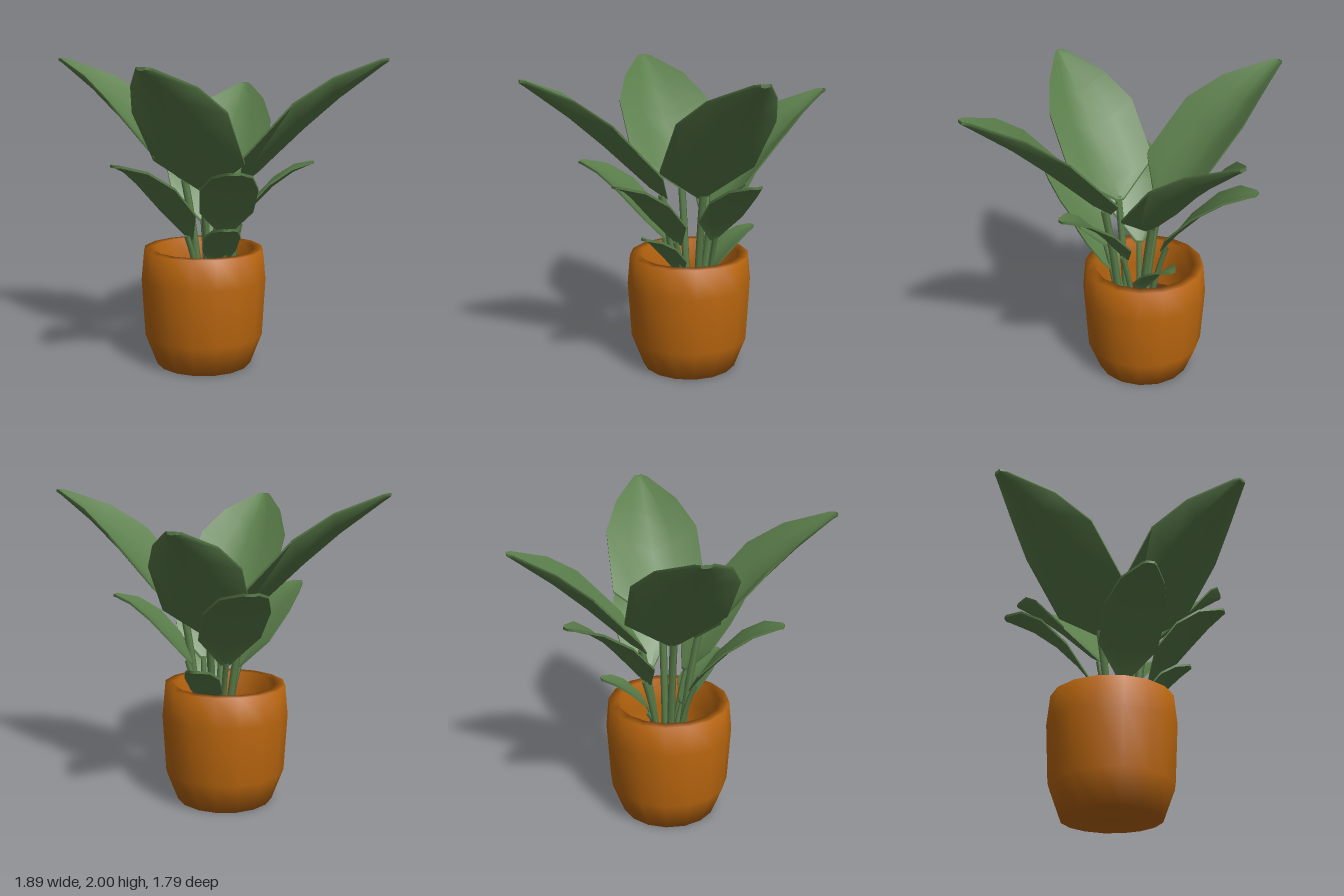
import * as THREE from 'three';
import { toCreasedNormals } from 'three/addons/utils/BufferGeometryUtils.js';

const green = new THREE.MeshStandardMaterial({ color: 0x5a7d4a, side: THREE.DoubleSide });
const clay = new THREE.MeshStandardMaterial({ color: 0xbb670f });
const earth = new THREE.MeshStandardMaterial({ color: 0x5a3316 });
const SOIL_Y = 0.42;

// Leaf stations: [distance from centre, half width, midrib rise above the leaf base, edge lift]
const LARGE = [[0.175, 0.025, 0, 0], [0.285, 0.31, 0.08, 0.12], [0.585, 0.31, 0.37, 0.155], [0.8, 0.21, 0.56, 0.115], [1.055, 0.05, 0.755, 0.025], [1.09, 0.025, 0.78, 0.005]];
const MEDIUM = [[0.17, 0.025, 0, 0], [0.27, 0.17, 0.13, 0.035], [0.42, 0.18, 0.29, 0.035], [0.56, 0.125, 0.395, 0.025], [0.68, 0.04, 0.45, 0.005], [0.7, 0.02, 0.455, 0]];
const SMALL = [[0.11, 0.02, 0, 0], [0.17, 0.105, 0.09, 0.025], [0.28, 0.115, 0.2, 0.025], [0.37, 0.08, 0.265, 0.015], [0.44, 0.03, 0.297, 0.003], [0.45, 0.02, 0.3, 0]];

// Thin cupped blade lofted along +x; every section is a closed loop, top then underside
function bladeGeometry(stations, scale, baseY) {
  const across = [-1, -0.5, 0, 0.5, 1], n = 10, thick = 0.016;
  const pos = [], index = [];
  for (const [r, half, rise, lift] of stations) {
    const put = (a, drop) => pos.push(r * scale, baseY + (rise + lift * Math.abs(a) ** 1.4) * scale - drop, a * half * scale);
    across.forEach(a => put(a, 0));
    [...across].reverse().forEach(a => put(a, thick));
  }
  const last = (stations.length - 1) * n;
  for (let o = 0; o < last; o += n) {
    for (let j = 0; j < n; j++) {
      const a = o + j, b = o + (j + 1) % n;
      index.push(a, b, a + n, b, b + n, a + n);
    }
  }
  for (let j = 1; j < n - 1; j++) index.push(0, j + 1, j, last, last + j, last + j + 1);
  const g = new THREE.BufferGeometry();
  g.setAttribute('position', new THREE.Float32BufferAttribute(pos, 3));
  g.setIndex(index);
  return toCreasedNormals(g, 0.9);
}

// A blade on its stem, rooted at (rootX, rootZ), its tip at (tipX, tipZ)
function makeLeaf(name, stations, tipX, tipZ, baseY, rootX = 0, rootZ = 0) {
  const leaf = new THREE.Group();
  leaf.name = name;
  const dx = tipX - rootX, dz = tipZ - rootZ;
  const scale = Math.hypot(dx, dz) / stations[stations.length - 1][0];
  const blade = new THREE.Mesh(bladeGeometry(stations, scale, baseY), green);
  blade.name = 'blade';
  const r = stations[0][0] * scale;
  const curve = new THREE.QuadraticBezierCurve3(
    new THREE.Vector3(r * 0.5, SOIL_Y - 0.03, 0),
    new THREE.Vector3(r * 0.75, (SOIL_Y + baseY) / 2 + 0.05, 0),
    new THREE.Vector3(r + 0.03, baseY + 0.01, 0));
  const stem = new THREE.Mesh(new THREE.TubeGeometry(curve, 6, stations === LARGE ? 0.025 : 0.018, 6), green);
  stem.name = 'stem';
  leaf.add(blade, stem);
  leaf.position.set(rootX, 0, rootZ);
  leaf.rotation.y = -Math.atan2(dz, dx);
  return leaf;
}

export function createModel() {
  const model = new THREE.Group();
  model.name = 'pottedPlant';

  // Pot with rounded belly and a thick, softly shaded open rim
  const pot = new THREE.Group();
  pot.name = 'pot';
  pot.position.set(-0.063, 0, -0.052);
  const profile = [[0, 0], [0.315, 0], [0.392, 0.205], [0.413, 0.58], [0.394, 0.775], [0.33, 0.775], [0.345, 0.58], [0.335, SOIL_Y - 0.04]]
    .map(p => new THREE.Vector2(...p));
  const shell = new THREE.Mesh(new THREE.LatheGeometry(profile, 16), clay);
  shell.name = 'potShell';
  const soil = new THREE.Mesh(new THREE.CircleGeometry(0.34, 16).rotateX(-Math.PI / 2), earth);
  soil.name = 'soil';
  soil.position.y = SOIL_Y;
  pot.add(shell, soil);

  // Leaves: name, stations, tip x, tip z, base height, root x, root z
  const leaves = [
    ['largeLeafLeft', LARGE, 0.93, 0.565, 1.22],
    ['largeLeafRight', LARGE, -0.93, -0.59, 1.21],
    ['largeLeafFront', LARGE, -0.59, 0.885, 1.19],
    ['largeLeafBack', LARGE, 0.43, -0.885, 1.11, -0.02, 0],
    ['mediumLeafRight', MEDIUM, -0.69, 0.32, 0.87, 0, -0.05],
    ['mediumLeafLeft', MEDIUM, 0.62, 0.15, 0.92, 0, -0.09],
    ['mediumLeafFront', MEDIUM, -0.035, 0.685, 0.91, 0.05, 0],
    ['mediumLeafBack', MEDIUM, -0.03, -0.815, 0.94, -0.03, 0],
    ['smallLeafFront', SMALL, -0.02, 0.45, 0.69],
    ['smallLeafBack', SMALL, 0.21, -0.39, 0.65],
  ];
  model.add(pot, ...leaves.map(l => makeLeaf(...l)));
  return model;
}
